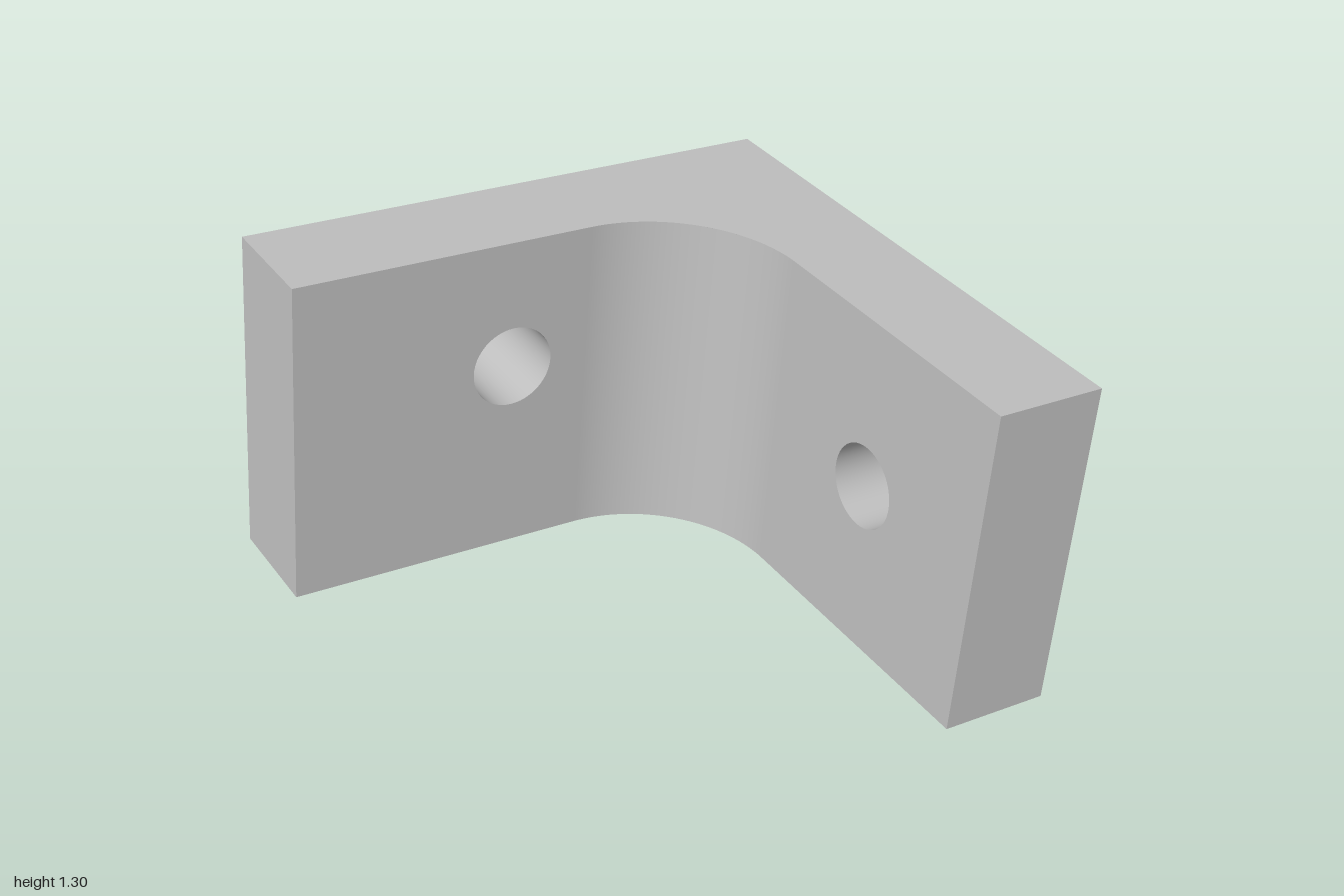
import * as THREE from 'three';

const L = 1.916;          // length of each arm
const H = 1.15;           // height of the bracket
const T = 0.383;          // plate thickness
const R = 0.479;          // inner fillet radius
const HOLE = 0.144;       // bolt hole radius
const E = L / 2;
const C = E - T - R;      // fillet centre at (C, -C)
const TILT = 0.0796;

const metal = new THREE.MeshStandardMaterial({ color: 0xc0c0c0, side: THREE.DoubleSide });
metal.name = 'grey metal';

function add(group, name, geometry) {
  const mesh = new THREE.Mesh(geometry, metal);
  mesh.name = name;
  group.add(mesh);
}

// Upright rectangle from x0 to x1, drilled at (hx, hy)
function drilledFace(x0, x1, hx, hy) {
  const s = new THREE.Shape();
  s.moveTo(x0, -H / 2).lineTo(x1, -H / 2).lineTo(x1, H / 2).lineTo(x0, H / 2).closePath();
  s.holes.push(new THREE.Path().absarc(hx, hy, HOLE, 0, Math.PI * 2, true));
  return new THREE.ShapeGeometry(s, 24);
}

// One arm lying along the back, free end at -x
function makeArm(name, hx, hy) {
  const arm = new THREE.Group();
  arm.name = name;
  add(arm, 'outerFace', drilledFace(-E, E, -hx, hy).rotateY(Math.PI).translate(0, 0, -E));
  add(arm, 'innerFace', drilledFace(-E, C, hx, hy).translate(0, 0, T - E));
  add(arm, 'endFace', new THREE.PlaneGeometry(T, H).rotateY(-Math.PI / 2).translate(-E, 0, T / 2 - E));
  add(arm, 'holeBore', new THREE.CylinderGeometry(HOLE, HOLE, T, 48, 1, true)
    .rotateX(Math.PI / 2).translate(hx, hy, T / 2 - E));
  return arm;
}

export function createModel() {
  const model = new THREE.Group();
  model.name = 'angleBracket';
  const body = new THREE.Group();
  body.name = 'body';
  model.add(body);

  // Half turn about the corner diagonal swaps the two arms and top with bottom
  const swap = new THREE.Matrix4().makeRotationAxis(new THREE.Vector3(1, 0, -1).normalize(), Math.PI);

  body.add(makeArm('backArm', -0.176, 0.117));
  const side = makeArm('sideArm', 0.573 - E, 0);
  side.applyMatrix4(swap);
  body.add(side);

  // L-shaped top and bottom with the filleted inner corner
  const foot = new THREE.Shape();
  foot.moveTo(-E, E).lineTo(-E, E - T).lineTo(C, E - T);
  foot.absarc(C, C, R, Math.PI / 2, 0, true);
  foot.lineTo(E - T, -E).lineTo(E, -E).lineTo(E, E).closePath();
  const top = new THREE.ShapeGeometry(foot, 32).rotateX(-Math.PI / 2).translate(0, H / 2, 0);
  add(body, 'topFace', top);
  add(body, 'bottomFace', top.clone().applyMatrix4(swap));

  // Curved inner corner
  add(body, 'innerFillet', new THREE.CylinderGeometry(R, R, H, 32, 1, true, Math.PI / 2, Math.PI / 2)
    .translate(C, 0, -C));

  // Lean the body and rest its lowest edge on the ground
  body.rotation.z = -TILT;
  body.position.y = (L * Math.sin(TILT) + H * Math.cos(TILT)) / 2;
  return model;
}
